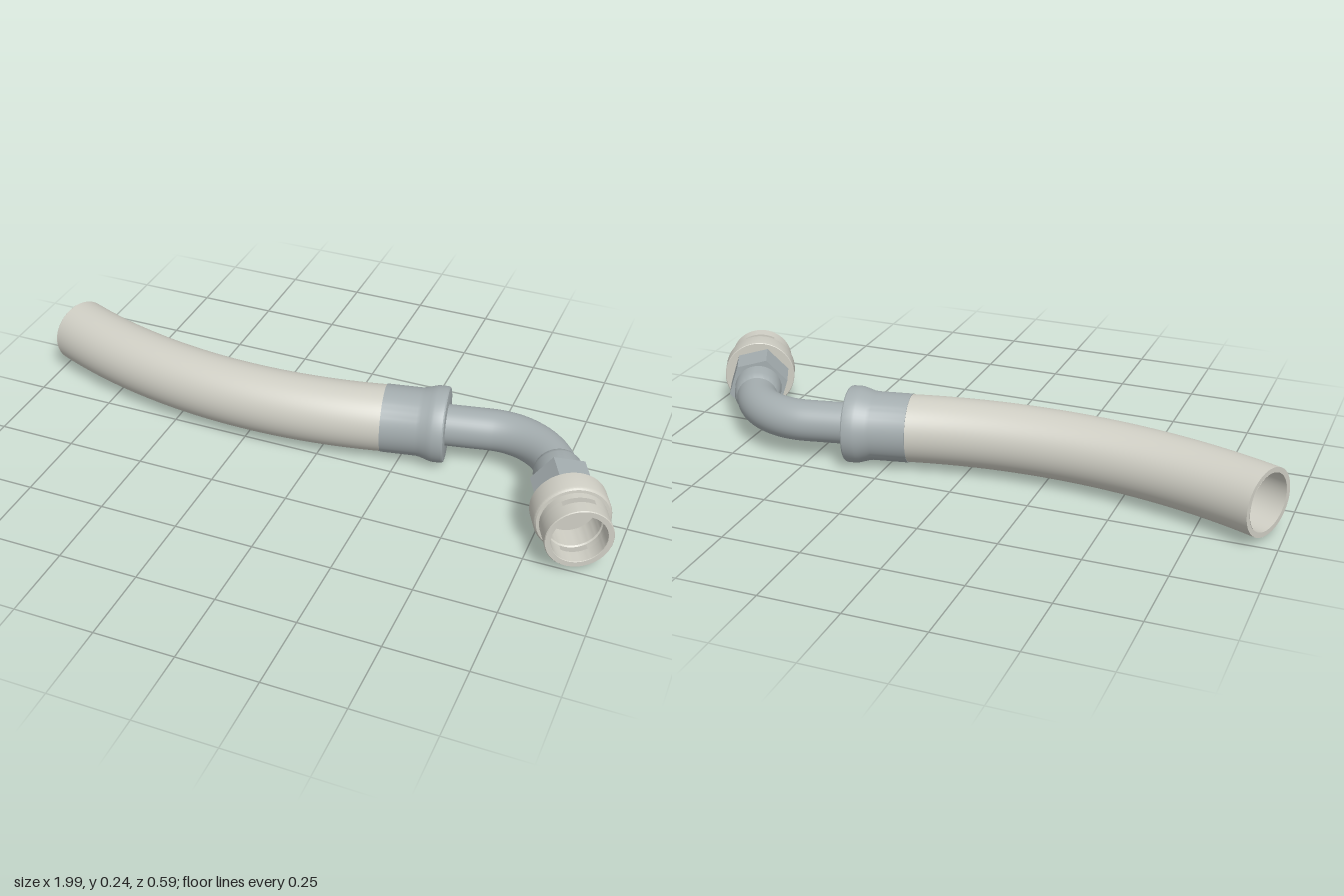
import * as THREE from 'three';
import { toCreasedNormals } from 'three/addons/utils/BufferGeometryUtils.js';

const Y = 0.1215; // height of the common centre plane
const mat = (color) => new THREE.MeshStandardMaterial({ color, side: THREE.DoubleSide });
const warm = mat(0xcfcec4);
const steel = mat(0xa4adaf);
const V = (x, z) => new THREE.Vector3(x, Y, z);

function add(parent, name, geometry, material) {
  const mesh = new THREE.Mesh(geometry, material);
  mesh.name = name;
  parent.add(mesh);
  return mesh;
}

// Turned part from [radius, axial position] pairs
function turned(profile, start = 0, sweep = Math.PI * 2) {
  const pts = profile.map(([r, y]) => new THREE.Vector2(r, y));
  const segs = Math.max(8, Math.round((64 * sweep) / (Math.PI * 2)));
  return toCreasedNormals(new THREE.LatheGeometry(pts, segs, start, sweep), 0.4);
}

// Group whose local y runs along a horizontal heading and local z points up
function axisGroup(name, origin, heading) {
  const g = new THREE.Group();
  g.name = name;
  const dir = new THREE.Vector3(Math.cos(heading), 0, Math.sin(heading));
  const up = new THREE.Vector3(0, 1, 0);
  const side = new THREE.Vector3().crossVectors(dir, up);
  g.quaternion.setFromRotationMatrix(new THREE.Matrix4().makeBasis(side, dir, up));
  g.position.copy(origin);
  return g;
}

// Points on an arc in the horizontal plane
function arc(cx, cz, r, a0, a1, n, sign) {
  return Array.from({ length: n + 1 }, (_, i) => {
    const a = a0 + ((a1 - a0) * i) / n;
    return V(cx + r * Math.sin(a), cz + sign * r * Math.cos(a));
  });
}

export function createModel() {
  const model = new THREE.Group();
  model.name = 'hoseAssembly';

  // Hollow curved hose
  const R = 1.8, a0 = -0.408;
  const hosePath = new THREE.CatmullRomCurve3(arc(-0.24, -0.055 - R, R, a0, 0.258, 24, 1));
  add(model, 'hoseOuter', new THREE.TubeGeometry(hosePath, 60, 0.106, 64), warm);
  add(model, 'hoseInner', new THREE.TubeGeometry(hosePath, 60, 0.09, 48), warm);
  const rim = axisGroup('hoseEnd', hosePath.getPoint(0), -a0);
  add(rim, 'hoseRim', new THREE.RingGeometry(0.09, 0.106, 64).rotateX(Math.PI / 2), warm);
  model.add(rim);

  // Crimp collar with a flared lip
  const tilt = THREE.MathUtils.degToRad(-11);
  const collarEnd = V(0.383, -0.145);
  const collar = axisGroup('collar', collarEnd, tilt);
  add(collar, 'crimpCollar', turned([
    [0.1, -0.2], [0.108, -0.2], [0.108, -0.088], [0.11, -0.075], [0.117, -0.052], [0.12, -0.042],
    [0.121, -0.034], [0.121, -0.01], [0.12, -0.005], [0.117, -0.001], [0.113, 0], [0, 0],
  ]), steel);
  model.add(collar);

  // Bent pipe between collar and connector
  const heading = THREE.MathUtils.degToRad(63.9);
  const tip = V(0.908, 0.25);
  const bendR = 0.224, back = 0.335;
  const ex = tip.x - back * Math.cos(heading), ez = tip.z - back * Math.sin(heading);
  const bend = arc(ex - bendR * Math.sin(heading), ez + bendR * Math.cos(heading), bendR, tilt, heading, 16, -1);
  const inside = V(collarEnd.x - 0.04, collarEnd.z + 0.008);
  const pipePath = new THREE.CatmullRomCurve3([
    inside, collarEnd.clone().lerp(bend[0], 0.5), ...bend, V(ex + 0.022, ez + 0.045),
  ]);
  add(model, 'elbowPipe', new THREE.TubeGeometry(pipePath, 64, 0.0655, 48), steel);

  // Connector, with its mouth at local y = 0
  const con = axisGroup('connector', tip, heading);
  add(con, 'neck', turned([[0.064, -0.35], [0.068, -0.345], [0.075, -0.325], [0.076, -0.255]]), steel);
  const hex = new THREE.CylinderGeometry(0.098, 0.098, 0.115, 6, 1, false, Math.PI / 10);
  add(con, 'hexNut', toCreasedNormals(hex, 0.4), steel).position.y = -0.2125;
  add(con, 'lockingRing', turned([
    [0.085, -0.165], [0.113, -0.165], [0.115, -0.163], [0.115, -0.1],
    [0.113, -0.093], [0.109, -0.088], [0.1, -0.087],
  ]), warm);
  add(con, 'socketMouth', turned([
    [0.082, -0.045], [0.1, -0.045], [0.101, -0.003], [0.099, 0], [0.083, 0], [0.082, -0.002], [0.082, -0.045],
  ]), warm);
  add(con, 'socketBase', turned([
    [0.1, -0.1], [0.1, -0.065], [0.082, -0.065], [0.078, -0.069], [0.078, -0.14], [0, -0.14],
  ]), warm);

  // Side walls leave a slot at the top and the bottom
  const half = 0.5;
  for (const start of [half, Math.PI + half]) {
    add(con, 'slotWall', turned([
      [0.082, -0.066], [0.1, -0.066], [0.1, -0.044], [0.082, -0.044], [0.082, -0.066],
    ], start, Math.PI - 2 * half), warm);
  }
  model.add(con);
  return model;
}
